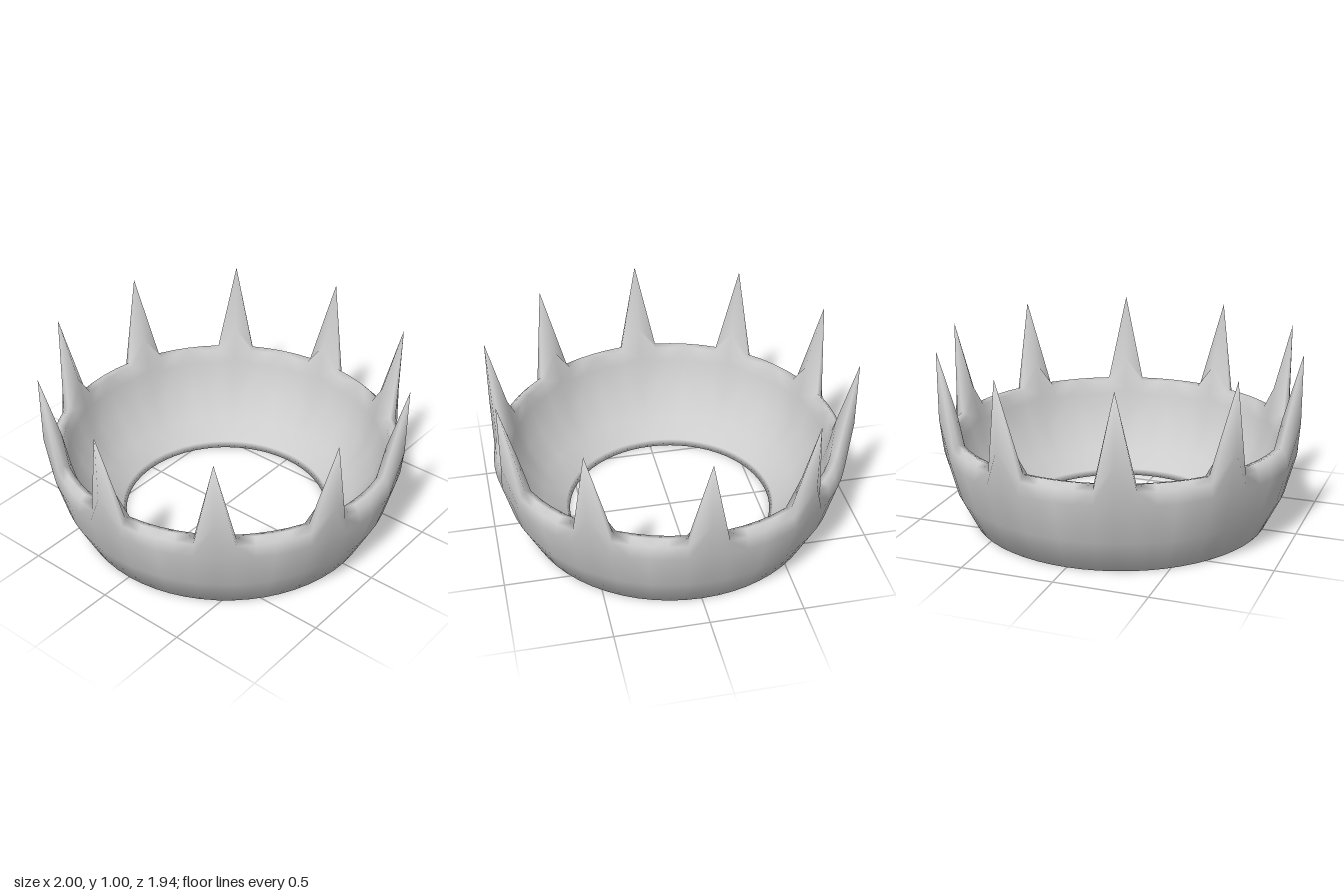
import * as THREE from 'three';

const SPIKES = 10;
const STEP = 36; // degrees between spikes

// Closed cross-sections [radius, height]: hole edge, outer wall, rim, inner bowl.
const BAND = [
  [0.57, 0], [0.815, 0], [0.91, 0.19], [0.97, 0.41], [0.955, 0.48], [0.925, 0.51],
  [0.89, 0.5], [0.87, 0.42], [0.82, 0.27], [0.71, 0.12], [0.59, 0.03],
];
const SPIKE = [
  [0.57, 0], [0.815, 0], [0.91, 0.19], [0.967, 0.41], [1, 0.63], [1, 1],
  [0.9, 0.64], [0.865, 0.45], [0.82, 0.27], [0.71, 0.12], [0.59, 0.03],
];

// Columns of one repeat: spike ridge, spike foot, band between spikes, next foot.
const COLUMNS = [
  [0, SPIKE], [6.4, BAND], [12.2, BAND], [18, BAND], [23.8, BAND], [29.6, BAND],
];

// Sweep the sections around the y axis into one smooth closed ring.
function ringGeometry() {
  const positions = [];
  const index = [];
  const rows = BAND.length;
  const total = SPIKES * COLUMNS.length;
  for (let s = 0; s < SPIKES; s++) {
    for (const [offset, section] of COLUMNS) {
      const a = THREE.MathUtils.degToRad(s * STEP + offset);
      for (const [r, y] of section) positions.push(r * Math.cos(a), y, r * Math.sin(a));
    }
  }
  for (let c = 0; c < total; c++) {
    const here = c * rows;
    const next = ((c + 1) % total) * rows;
    for (let j = 0; j < rows; j++) {
      const k = (j + 1) % rows;
      // Mirror the diagonals about each spike ridge.
      if (c % COLUMNS.length < 3) {
        index.push(here + j, here + k, next + j, here + k, next + k, next + j);
      } else {
        index.push(here + j, here + k, next + k, here + j, next + k, next + j);
      }
    }
  }
  const geometry = new THREE.BufferGeometry();
  geometry.setAttribute('position', new THREE.Float32BufferAttribute(positions, 3));
  geometry.setIndex(index);
  geometry.computeVertexNormals();
  return geometry;
}

export function createModel() {
  const group = new THREE.Group();
  group.name = 'crown';
  const metal = new THREE.MeshStandardMaterial({ color: 0xcccccc });
  metal.name = 'light grey';
  const ring = new THREE.Mesh(ringGeometry(), metal);
  ring.name = 'spikedBand';
  group.add(ring);
  return group;
}
